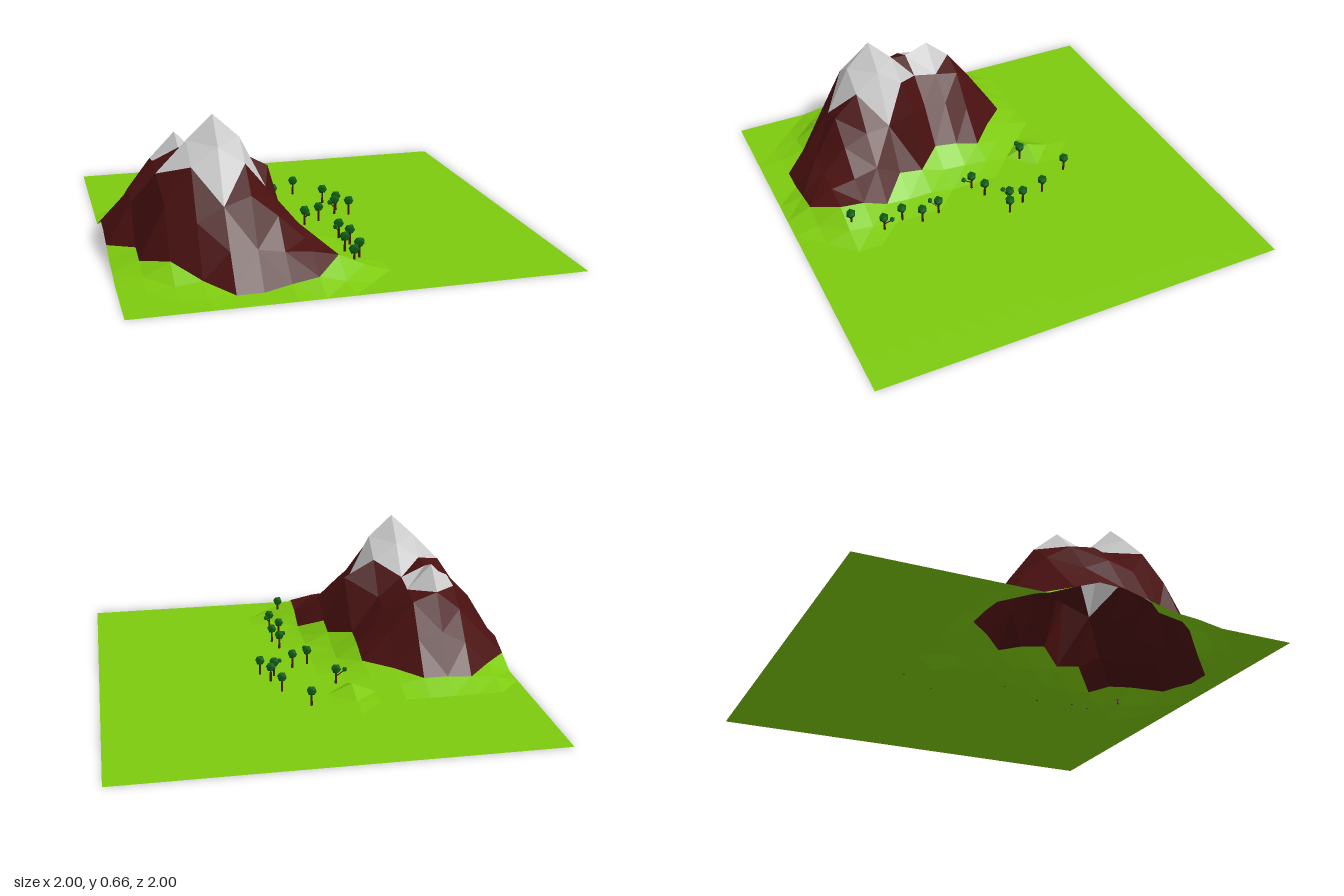
import * as THREE from 'three';

const CELLS = 17, STEP = 2 / CELLS;

// Heights of the raised corner of the land, in hundredths (rows run back to front)
const FIRST_ROW = 5;
const HEIGHTS = [
  [0, 0, 0, 0, 0, 0, 0, 1, 0, 0],
  [0, 3, 4, 5, 5, 3, 0, 5, 0, 0],
  [0, 5, 17, 23, 20, 6, 3, 0, 0, 0],
  [5, 17, 30, 39.5, 35, 20, 6, 2, 0, 0],
  [9.5, 22, 38, 50, 37.5, 27, 10, 3, 0, 0],
  [9, 28, 40, 45.5, 40, 30, 12, 4, 0, 0],
  [6, 25, 36, 46, 54, 46, 37.5, 8, 2, 0],
  [3, 8, 41, 55, 66, 55, 31, 10, 2, 0],
  [2, 6, 30, 46, 54, 46, 30, 17, 3, 0],
  [0, 3, 9, 25, 31, 35, 25, 14, 8, 2],
  [0, 0, 2, 3.5, 15, 15, 13, 12, 9.5, 4],
  [0, 0, 0, 1, 0.5, 0.5, 3, 5, 2, 0],
];

// Sideways shifts of single grid points
const NUDGE = { '2,12': -0.02, '6,11': 0.035, '6,8': 0.015, '6,9': 0.015, '6,10': 0.015 };

// Outlines of the rock and the snow caps, in grid cells
const ROCK = [[2, 6], [4, 6], [6, 8], [6, 10], [7, 11], [7, 12], [8, 13], [8, 15], [7, 16], [4, 16], [1, 13], [1, 12], [0, 11], [0, 8]];
const SNOW = [
  [[4, 10], [6, 12], [4, 14], [2, 12]],
  [[2, 9], [3, 8], [4, 9], [4, 10], [2, 10]],
];

function inside(poly, x, y) {
  let hit = false;
  poly.forEach(([x1, y1], k) => {
    const [x2, y2] = poly[(k + 1) % poly.length];
    if ((y1 > y) !== (y2 > y) && x < x1 + ((y - y1) / (y2 - y1)) * (x2 - x1)) hit = !hit;
  });
  return hit;
}

function coverAt(x, y) {
  if (SNOW.some((p) => inside(p, x, y))) return 'snow';
  return inside(ROCK, x, y) ? 'rock' : 'grass';
}

function gridPoint(i, j) {
  const h = (HEIGHTS[j - FIRST_ROW]?.[i] ?? 0) / 100;
  return [-1 + i * STEP + (NUDGE[`${i},${j}`] ?? 0), h, -1 + j * STEP];
}

// One sheet of land, split into grass, rock and snow
function makeLand() {
  const positions = { grass: [], rock: [], snow: [] };
  const add = (cover, ...pts) => pts.forEach((p) => positions[cover].push(...p));

  for (let j = 0; j < CELLS; j++) {
    for (let i = 0; i < CELLS; i++) {
      const a = gridPoint(i, j), b = gridPoint(i + 1, j);
      const c = gridPoint(i + 1, j + 1), d = gridPoint(i, j + 1);
      const back = coverAt(i + 0.5, j + 0.2), front = coverAt(i + 0.5, j + 0.8);
      // The diagonal follows the cover's edge, or else the contour
      const diagonalAC = back !== front
        ? coverAt(i + 0.8, j + 0.5) === back
        : Math.abs(a[1] - c[1]) < Math.abs(b[1] - d[1]);
      if (diagonalAC) {
        add(back, a, c, b);
        add(front, a, d, c);
      } else {
        add(back, a, d, b);
        add(front, d, c, b);
      }
    }
  }

  const land = new THREE.Group();
  land.name = 'land';
  const colors = { grass: 0x7ecb0e, rock: 0x4a1010, snow: 0xcccccc };
  for (const [name, list] of Object.entries(positions)) {
    const geo = new THREE.BufferGeometry();
    geo.setAttribute('position', new THREE.Float32BufferAttribute(list, 3));
    geo.computeVertexNormals();
    const mesh = new THREE.Mesh(geo, new THREE.MeshStandardMaterial({
      color: colors[name], flatShading: true, side: THREE.DoubleSide,
    }));
    mesh.name = name;
    land.add(mesh);
  }
  return land;
}

const leafMaterial = new THREE.MeshStandardMaterial({ color: 0x0b5a12, flatShading: true });
const barkMaterial = new THREE.MeshStandardMaterial({ color: 0x4a1a10, flatShading: true });

function makeCrown(radius, x, y, z) {
  const crown = new THREE.Mesh(new THREE.IcosahedronGeometry(radius, 0), leafMaterial);
  crown.name = 'crown';
  crown.position.set(x, y, z);
  return crown;
}

function makeStem(from, to, radius) {
  const dir = to.clone().sub(from);
  const stem = new THREE.Mesh(new THREE.CylinderGeometry(radius * 0.8, radius, dir.length(), 5), barkMaterial);
  stem.position.copy(from).add(to).multiplyScalar(0.5);
  stem.quaternion.setFromUnitVectors(new THREE.Vector3(0, 1, 0), dir.normalize());
  return stem;
}

// Trunk and round crown, with an optional side branch ending in a small crown
function makeTree(x, y, z, branch) {
  const tree = new THREE.Group();
  tree.name = 'tree';
  tree.position.set(x, y, z);
  const trunk = makeStem(new THREE.Vector3(0, 0, 0), new THREE.Vector3(0, 0.065, 0), 0.006);
  trunk.name = 'trunk';
  tree.add(trunk, makeCrown(0.025, 0, 0.074, 0));
  if (branch) {
    const tip = new THREE.Vector3(branch[0], 0.065, branch[1]);
    const limb = makeStem(new THREE.Vector3(0, 0.035, 0), tip, 0.003);
    limb.name = 'branch';
    tree.add(limb, makeCrown(0.013, tip.x, tip.y + 0.004, tip.z));
  }
  return tree;
}

// x, ground height, z, branch offset
const TREES = [
  [0.035, 0, -0.395], [-0.115, 0.024, -0.22, [-0.042, 0]], [0.145, 0, -0.215],
  [0.18, 0, -0.09], [0.155, 0, -0.03, [-0.03, 0.022]], [0.22, 0, 0],
  [0.05, 0, 0.055], [-0.03, 0, 0.09, [0.005, 0.045]], [0.075, 0, 0.315, [-0.025, 0.033]],
  [0.1, 0, 0.41], [0.05, 0, 0.495], [0.085, 0.005, 0.6, [0.023, -0.033]], [0.018, 0.03, 0.74],
];

export function createModel() {
  const model = new THREE.Group();
  model.name = 'mountainLandscape';
  model.add(makeLand());
  const grove = new THREE.Group();
  grove.name = 'trees';
  TREES.forEach((t) => grove.add(makeTree(...t)));
  model.add(grove);
  return model;
}
